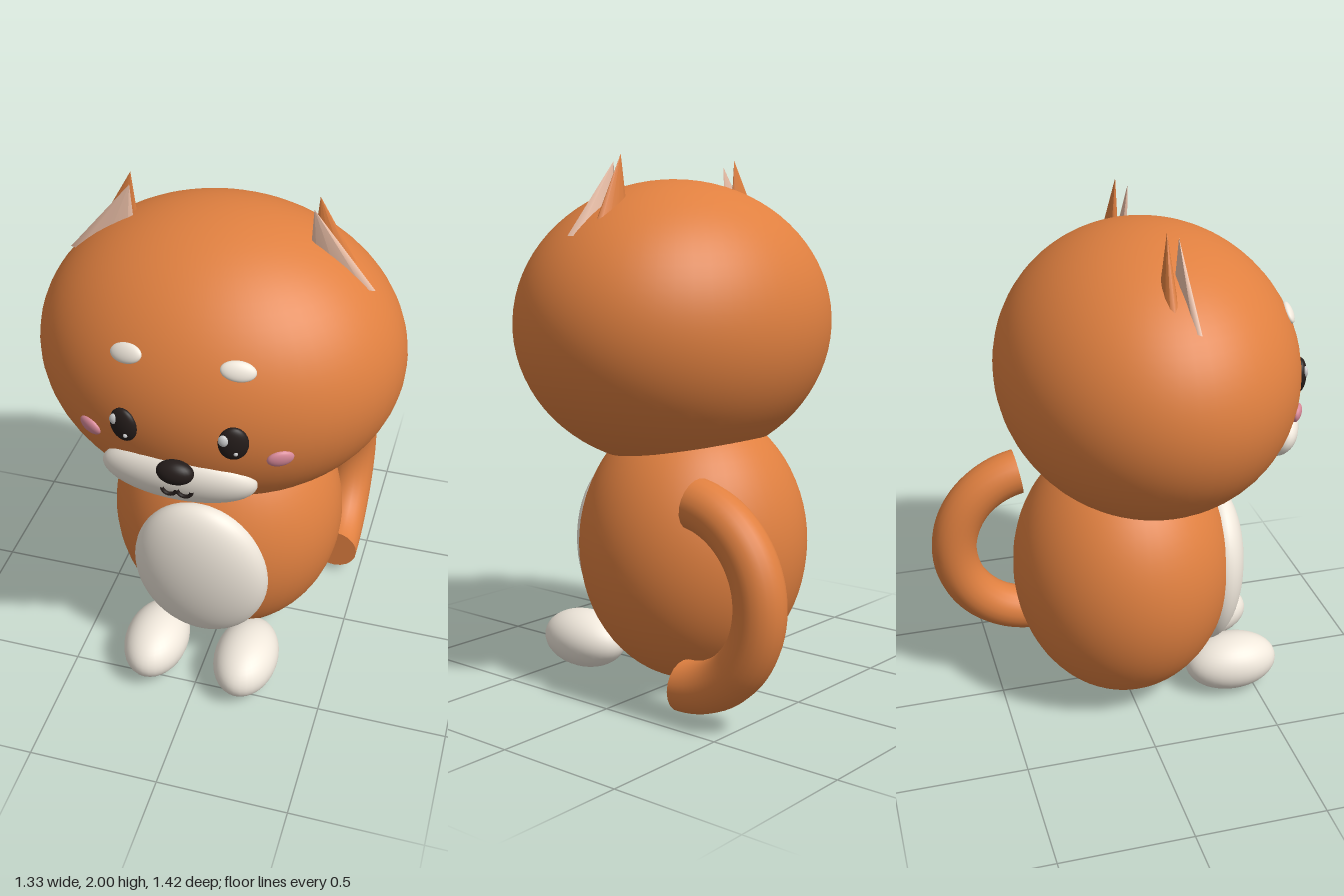
import * as THREE from 'three';

const paint = (color) => new THREE.MeshStandardMaterial({ color });

export function createModel() {
  const model = new THREE.Group();
  const orange = paint(0xe08040), cream = paint(0xf0e8dc), dark = paint(0x241c1a);
  const pink = paint(0xd98a9a), earPink = paint(0xecc0a8), white = paint(0xffffff);

  const add = (name, geometry, material, pos = [0, 0, 0]) => {
    const mesh = new THREE.Mesh(geometry, material);
    mesh.name = name;
    mesh.position.set(...pos);
    model.add(mesh);
    return mesh;
  };

  // Ellipsoid with given radii
  const blob = (name, material, pos, radii, seg = 24) =>
    add(name, new THREE.SphereGeometry(1, seg, Math.round(seg * 0.7)).scale(...radii), material, pos);

  // Head ellipsoid, and a helper that lays a flat blob on its face
  const headPos = [0, 1.38, 0.09], headR = [0.665, 0.54, 0.56];
  const onFace = (name, material, x, y, radii, roll = 0) => {
    const dx = x / headR[0], dy = (y - headPos[1]) / headR[1];
    const dz = Math.sqrt(1 - dx * dx - dy * dy);
    const mesh = blob(name, material, [x, y, headPos[2] + dz * headR[2]], radii);
    const normal = new THREE.Vector3(dx / headR[0], dy / headR[1], dz / headR[2]);
    mesh.lookAt(normal.add(mesh.position));
    mesh.rotateZ(roll);
    return mesh;
  };

  // Leaning flattened cone: half width w, half depth d, skewed in z
  const leaningCone = (name, material, side, apex, base, w, d, skew, seg) => {
    const g = new THREE.ConeGeometry(1, 1, seg).translate(0, 0.5, 0);
    g.applyMatrix4(new THREE.Matrix4().makeBasis(
      new THREE.Vector3(w, 0, side * skew),
      new THREE.Vector3(side * (apex[0] - base[0]), apex[1] - base[1], apex[2] - base[2]),
      new THREE.Vector3(0, 0, d)
    ));
    add(name, g, material, [side * base[0], base[1], base[2]]);
  };

  // Trunk and head
  blob('body', orange, [0, 0.54, 0], [0.455, 0.53, 0.43], 48);
  blob('head', orange, headPos, headR, 56);
  blob('belly', cream, [-0.012, 0.5, 0.355], [0.265, 0.335, 0.12], 40).rotation.x = 0.08;

  // Muzzle, nose and mouth
  blob('muzzle', cream, [-0.022, 1.14, 0.555], [0.278, 0.13, 0.09], 40).rotation.x = 0.45;
  blob('nose', dark, [0, 1.235, 0.67], [0.066, 0.045, 0.04]);

  for (const side of [-1, 1]) {
    const label = side > 0 ? 'left' : 'right';
    blob(label + 'Foot', cream, [side * 0.185, 0.118, 0.41], [0.125, 0.113, 0.188], 32);

    // Ears: orange back shell and pink front shell
    leaningCone(label + 'OuterEar', orange, side,
      [0.33, 2.0, 0.065], [0.4, 1.7, 0.055], 0.1, 0.036, 0, 12);
    leaningCone(label + 'InnerEar', earPink, side,
      [0.32, 1.975, 0.11], [0.425, 1.71, 0.11], 0.118, 0.02, 0.016, 8);

    // Face details
    onFace(label + 'Brow', cream, side * 0.19, 1.615, [0.06, 0.035, 0.018], -side * 0.15);
    onFace(label + 'Cheek', pink, side * 0.335, 1.285, [0.047, 0.034, 0.018], side * 0.1);
    onFace(label + 'Eye', dark, side * 0.19, 1.365, [0.052, 0.066, 0.026]);
    const ex = side * 0.19;
    blob(label + 'EyeShine', white, [ex - 0.028, 1.388, 0.643 - side * -0.008], [0.018, 0.022, 0.012], 16);
    blob(label + 'EyeGlint', white, [ex + 0.013, 1.338, 0.647 - side * 0.003], [0.008, 0.009, 0.008], 12);

    // Half of the w-shaped mouth
    const arc = new THREE.TorusGeometry(0.026, 0.007, 8, 16, Math.PI).rotateZ(Math.PI);
    add(label + 'Mouth', arc, dark, [side * 0.027, 1.15, 0.657]);
  }

  // Tail: open hoop in the yz plane with flat ends
  const R = 0.335, r = 0.093, sweep = 2.97;
  const tail = new THREE.Group();
  tail.name = 'tail';
  const tailPart = (name, geometry) => {
    const mesh = new THREE.Mesh(geometry, orange);
    mesh.name = name;
    tail.add(mesh);
    return mesh;
  };
  tailPart('tailCurve', new THREE.TorusGeometry(R, r, 20, 40, sweep));
  tailPart('tailLowerEnd', new THREE.CircleGeometry(r, 20).rotateX(Math.PI / 2).translate(R, 0, 0));
  tailPart('tailUpperEnd', new THREE.CircleGeometry(r, 20).rotateX(-Math.PI / 2)
    .translate(R, 0, 0).rotateZ(sweep));
  // local x points down, local y points back
  tail.quaternion.setFromRotationMatrix(new THREE.Matrix4().makeBasis(
    new THREE.Vector3(0, -1, 0), new THREE.Vector3(0, 0, -1), new THREE.Vector3(1, 0, 0)));
  tail.position.set(0.395, 0.463, -0.278);
  model.add(tail);

  return model;
}
